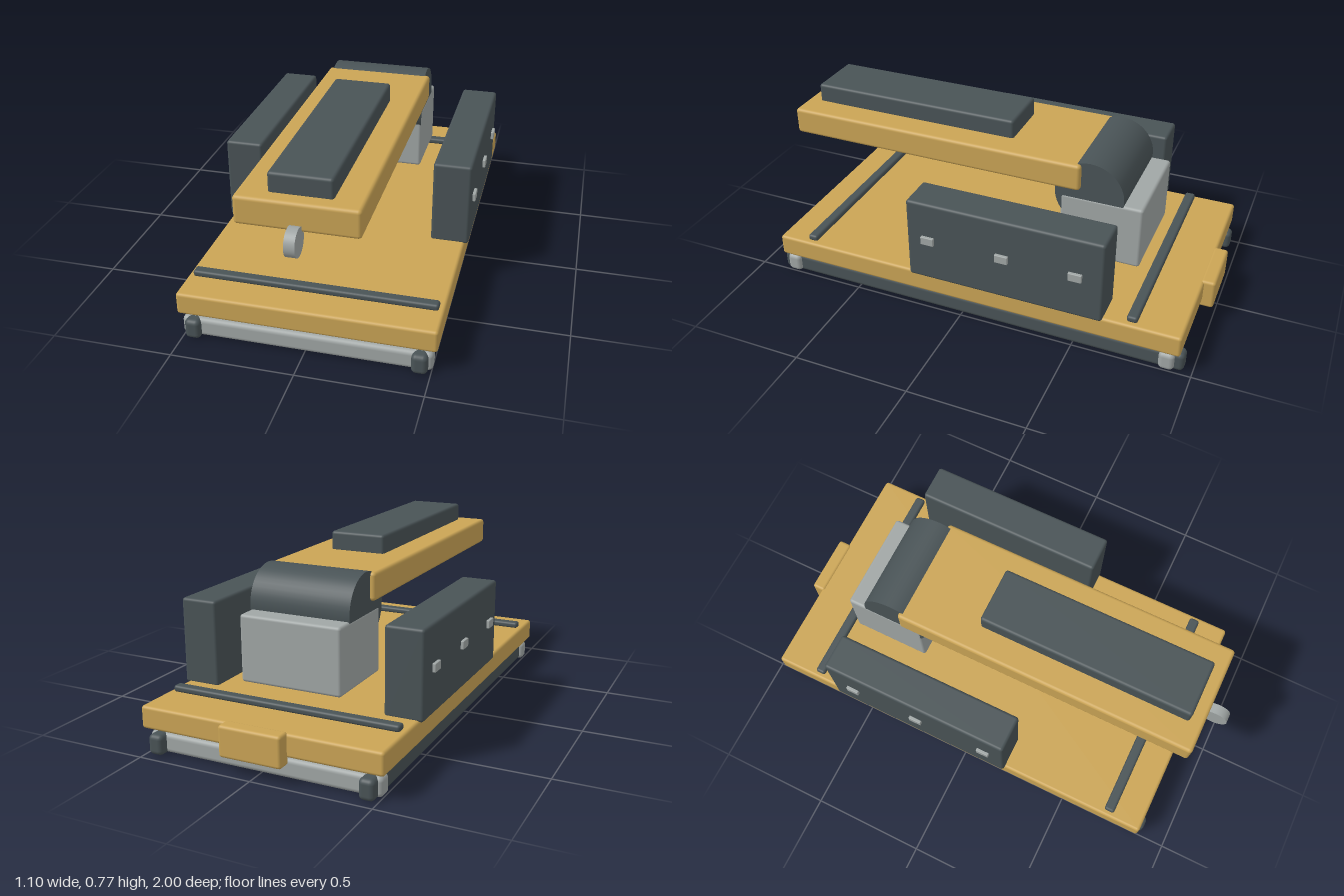
import * as THREE from 'three';
import { RoundedBoxGeometry } from 'three/addons/geometries/RoundedBoxGeometry.js';

export function createModel() {
  const model = new THREE.Group();
  model.name = 'machine';
  const material = (name, color) => {
    const m = new THREE.MeshStandardMaterial({ color });
    m.name = name;
    return m;
  };
  const ochre = material('ochre', 0xcaa455);
  const charcoal = material('charcoal', 0x495356);
  const grey = material('grey', 0xa0a6a5);

  const add = (name, geometry, mat) => {
    const mesh = new THREE.Mesh(geometry, mat);
    mesh.name = name;
    model.add(mesh);
    return mesh;
  };
  // Rounded block given by its limits on each axis
  const block = (name, mat, [x0, x1], [y0, y1], [z0, z1], radius) => {
    const g = new RoundedBoxGeometry(x1 - x0, y1 - y0, z1 - z0, 3, radius);
    g.translate((x0 + x1) / 2, (y0 + y1) / 2, (z0 + z1) / 2);
    return add(name, g, mat);
  };
  // Cylinder lying along x
  const roller = (name, mat, radius, width, y, z) => {
    const g = new THREE.CylinderGeometry(radius, radius, width, 48);
    g.rotateZ(Math.PI / 2);
    g.translate(0, y, z);
    return add(name, g, mat);
  };
  const span = (centre, size) => [centre - size / 2, centre + size / 2];

  // Base deck and rear latch
  block('deck', ochre, [-0.522, 0.522], [0.1, 0.195], [-0.952, 0.87], 0.013);
  block('rearLatch', ochre, [-0.134, 0.134], [0.07, 0.2], [-1, -0.937], 0.013);

  // Underframe: long side rails, cross rails and corner mounts
  for (const s of [-1, 1]) {
    block('sideRail', charcoal, span(s * 0.456, 0.065), [0, 0.085], [-0.965, 0.888], 0.02);
  }
  for (const z of [0.83, -0.895]) {
    block('crossRail', grey, [-0.505, 0.505], [0.003, 0.085], span(z, 0.066), 0.02);
  }
  for (const x of [-0.408, 0.408]) {
    for (const z of [0.785, -0.857]) {
      const g = new THREE.CylinderGeometry(0.038, 0.038, 0.055, 24);
      add('cornerMount', g, grey).position.set(x, 0.0775, z);
    }
  }

  // Strips across the deck
  for (const z of [0.715, -0.745]) {
    block('deckStrip', charcoal, [-0.5, 0.5], [0.193, 0.221], span(z, 0.045), 0.011);
  }

  // Side housings with three studs each
  for (const s of [-1, 1]) {
    block('sideHousing', charcoal, span(s * 0.456, 0.162), [0.187, 0.553], [-0.632, 0.215], 0.013);
    for (const z of [0.12, -0.207, -0.517]) {
      block('sideStud', grey, span(s * 0.54, 0.02), [0.362, 0.398], span(z, 0.057), 0.003);
    }
  }

  // Rear pivot block and drum
  block('pivotBlock', grey, [-0.222, 0.222], [0.255, 0.535], [-0.69, -0.337], 0.013);
  roller('pivotDrum', charcoal, 0.148, 0.44, 0.553, -0.46);

  // Arm, top pad and front wheel
  block('arm', ochre, [-0.241, 0.241], [0.573, 0.69], [-0.423, 0.91], 0.015);
  block('armPad', charcoal, [-0.125, 0.125], [0.68, 0.77], [-0.088, 0.85], 0.013);
  roller('frontWheel', grey, 0.057, 0.042, 0.553, 0.943);

  return model;
}
